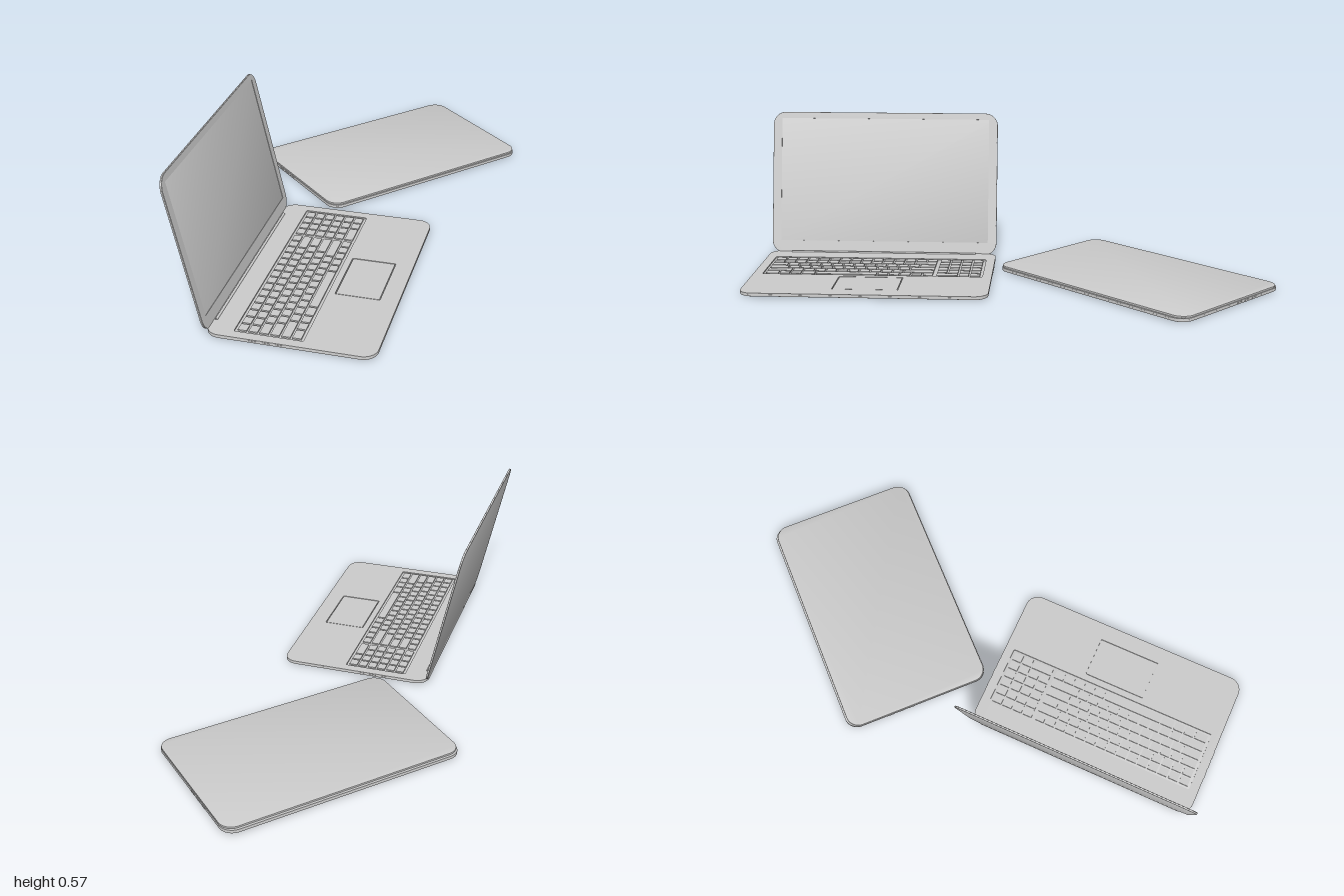
import * as THREE from 'three';
import { toCreasedNormals } from 'three/addons/utils/BufferGeometryUtils.js';

const W = 0.91, D = 0.58, LID = 0.57, R = 0.05;
const material = new THREE.MeshStandardMaterial({ color: 0xcccccc, roughness: 0.6 });

function add(parent, name, geometry, x = 0, y = 0, z = 0) {
  const mesh = new THREE.Mesh(geometry, material);
  mesh.name = name;
  mesh.position.set(x, y, z);
  parent.add(mesh);
  return mesh;
}

// Rounded rectangle centred on (cx, cy)
function roundRect(w, h, r, cx = 0, cy = 0, Type = THREE.Shape) {
  const s = new Type(), a = w / 2 - r, b = h / 2 - r;
  s.absarc(cx + a, cy + b, r, 0, Math.PI / 2);
  s.absarc(cx - a, cy + b, r, Math.PI / 2, Math.PI);
  s.absarc(cx - a, cy - b, r, Math.PI, Math.PI * 1.5);
  s.absarc(cx + a, cy - b, r, Math.PI * 1.5, Math.PI * 2);
  s.closePath();
  return s;
}

// Extruded slab from z = 0 to z = t, with an optional edge bevel inside the outline
function slab(shape, t, bevel = 0) {
  const g = new THREE.ExtrudeGeometry(shape, {
    depth: t - 2 * bevel, curveSegments: 8, bevelEnabled: bevel > 0,
    bevelThickness: bevel, bevelSize: bevel, bevelOffset: -bevel, bevelSegments: 2,
  });
  g.translate(0, 0, bevel);
  return toCreasedNormals(g, 0.6);
}

// Same slab lying flat, rising from y = 0 (shape y becomes -z)
const flat = (shape, t, bevel) => slab(shape, t, bevel).rotateX(-Math.PI / 2);

// Key widths per row, in key units: main block, then number pad
const MAIN = [
  Array(15).fill(1),
  [...Array(13).fill(1), 2],
  [1.5, ...Array(12).fill(1), 1.5],
  [1.75, ...Array(11).fill(1), 2.25],
  [2.25, ...Array(10).fill(1), 2.75],
  [1.25, 1, 1, 1.25, 5.5, 1, 1, 1, 1, 1],
];
const PAD = [[1, 1, 1, 1], [1, 1, 1, 1], [1, 1, 1, 1], [1, 1, 1, 1], [1, 1, 1, 1], [2, 1, 1]];

function buildKeyboard() {
  const keys = new THREE.Group();
  keys.name = 'keyboard';
  const unit = 0.826 / 19.2, pitch = 0.225 / 6, gap = 0.007;
  MAIN.forEach((main, row) => {
    const z = -0.19 + (row + 0.5) * pitch;
    [[main, 0], [PAD[row], 15.2]].forEach(([widths, start]) => {
      let u = start;
      for (const w of widths) {
        const x = -0.413 + (u + w / 2) * unit;
        add(keys, 'key', new THREE.BoxGeometry(w * unit - gap, 0.005, pitch - gap), x, 0.0135, z);
        u += w;
      }
    });
  });
  return keys;
}

function buildBase() {
  const base = new THREE.Group();
  base.name = 'base';
  add(base, 'bottomPlate', flat(roundRect(W - 0.05, D - 0.05, R - 0.015), 0.004));
  add(base, 'lowerBody', flat(roundRect(W, D, R), 0.008, 0.002), 0, 0.003, 0);

  // Top deck with openings for the keyboard and the touchpad
  const deck = roundRect(W, D, R);
  deck.holes.push(
    roundRect(0.84, 0.238, 0.006, 0, 0.0775, THREE.Path),
    roundRect(0.244, 0.16, 0.004, 0, -0.145, THREE.Path),
  );
  add(base, 'deck', flat(deck, 0.005), 0, 0.0108, 0);
  add(base, 'touchpad', flat(roundRect(0.238, 0.154, 0.003), 0.0045), 0, 0.0108, 0.145);
  base.add(buildKeyboard());

  // Hinge bar along the rear
  const hinge = new THREE.CylinderGeometry(0.005, 0.005, 0.745, 12).rotateZ(Math.PI / 2);
  add(base, 'hinge', hinge, 0, 0.0155, -0.275);

  // Side ports
  for (const side of [-1, 1])
    for (const [z, w] of [[-0.03, 0.025], [-0.075, 0.025], [-0.12, 0.03]])
      add(base, 'port', new THREE.BoxGeometry(0.003, 0.005, w), side * W / 2, 0.009, z);
  return base;
}

// Lid stands on its hinge edge, screen towards +z
function buildLid() {
  const lid = new THREE.Group();
  lid.name = 'lid';
  add(lid, 'lidShell', slab(roundRect(W, LID, R, 0, LID / 2), 0.006, 0.0015), 0, 0, -0.0075);
  const bezel = roundRect(W - 0.003, LID - 0.003, R - 0.0015, 0, LID / 2);
  bezel.holes.push(roundRect(0.84, LID - 0.075, 0.003, 0, LID / 2 + 0.0125, THREE.Path));
  add(lid, 'bezel', slab(bezel, 0.002), 0, 0, -0.002);
  return lid;
}

function buildLaptop(name, open) {
  const laptop = new THREE.Group();
  laptop.name = name;
  const lid = buildLid();
  lid.rotation.x = open ? -THREE.MathUtils.degToRad(12.7) : Math.PI / 2;
  lid.position.set(0, open ? 0.01 : 0.0165, open ? -0.281 : -0.283);
  laptop.add(buildBase(), lid);
  return laptop;
}

export function createModel() {
  const model = new THREE.Group();
  model.name = 'laptops';

  const open = buildLaptop('openLaptop', true);
  open.position.set(-0.43, 0, 0.185);
  open.rotation.y = THREE.MathUtils.degToRad(23);

  const closed = buildLaptop('closedLaptop', false);
  closed.position.set(0.4875, 0, -0.21);
  closed.rotation.y = -THREE.MathUtils.degToRad(20);

  model.add(open, closed);
  return model;
}
